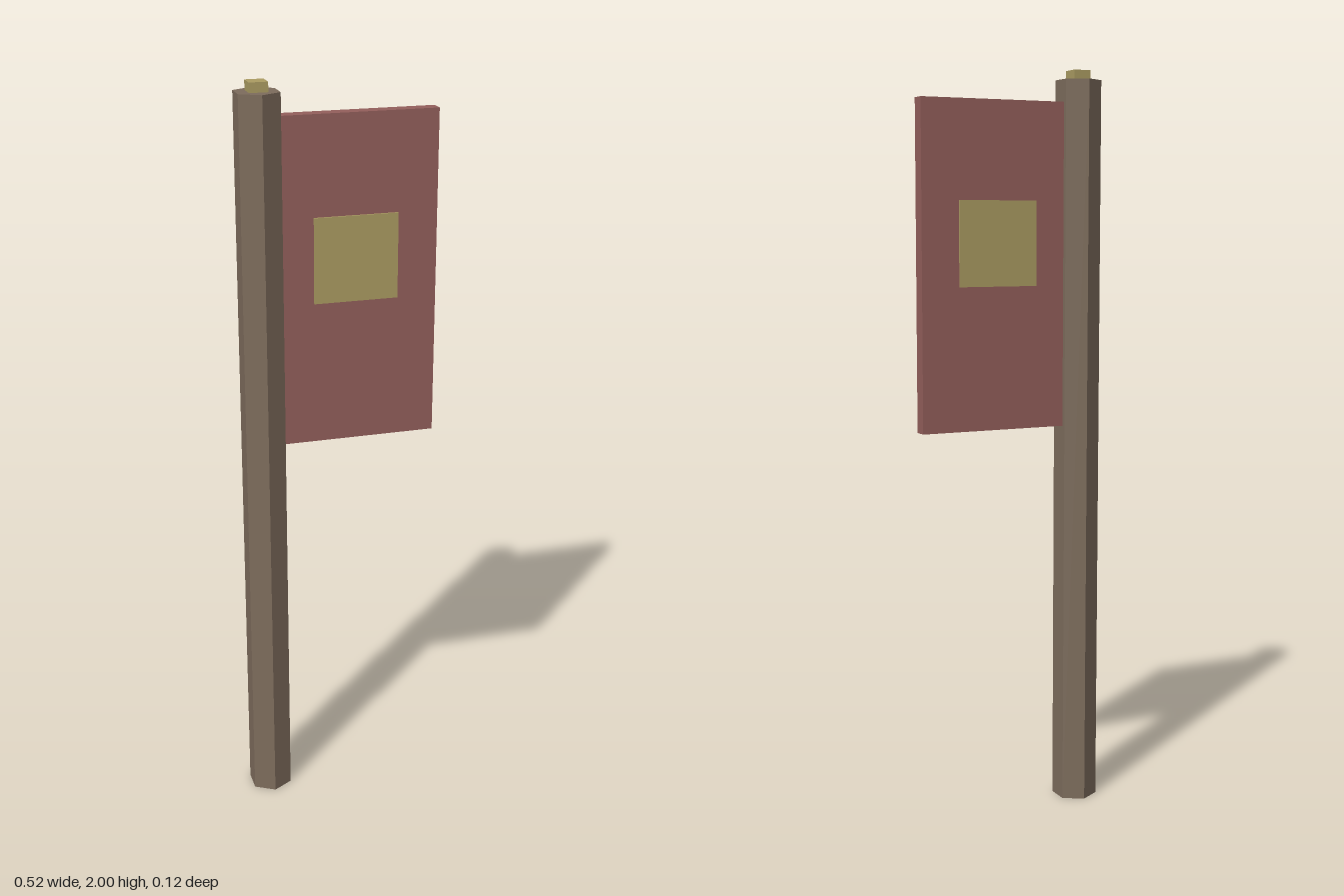
import * as THREE from 'three';

const material = (color) => new THREE.MeshStandardMaterial({ color, flatShading: true });

export function createModel() {
  const group = new THREE.Group();
  const wood = material(0x7d6c5c);
  const cloth = material(0x935f5b);
  const gold = material(0xab9c62);
  const poleX = -0.206;

  const add = (name, geometry, mat, x, y) => {
    const mesh = new THREE.Mesh(geometry, mat);
    mesh.name = name;
    mesh.position.set(x, y, 0);
    group.add(mesh);
  };

  // Hexagonal pole with a corner facing front
  add('pole', new THREE.CylinderGeometry(0.061, 0.061, 1.975, 6), wood, poleX, 1.975 / 2);

  // Square cap on the pole, sunk slightly into it
  add('poleCap', new THREE.BoxGeometry(0.048, 0.04, 0.048), gold, poleX, 1.98);

  // Flag panel, tucked just inside the flat of the pole
  add('flag', new THREE.BoxGeometry(0.415, 0.862, 0.038), cloth, 0.0495, 1.485);

  // Square emblem standing proud of both faces of the flag
  add('emblem', new THREE.BoxGeometry(0.222, 0.224, 0.048), gold, 0.041, 1.546);

  return group;
}
